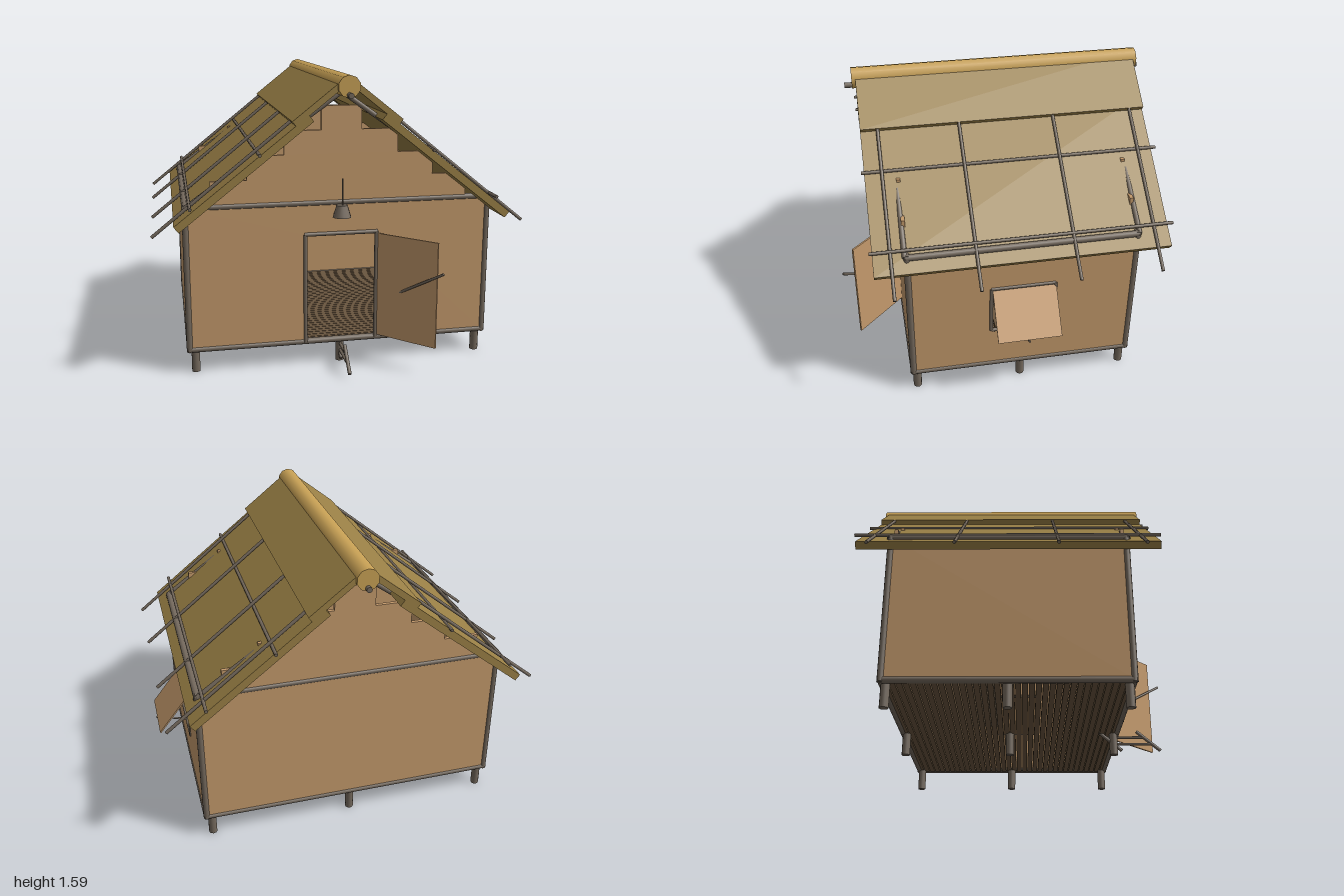
import * as THREE from 'three';

const mat = (color) => new THREE.MeshStandardMaterial({ color });
const wood = mat(0x73685c), wall = mat(0xc49a6c), thatch = mat(0x9a8046),
  straw = mat(0xc8a155), boards = mat(0x6a563f);

// The hut's own centre line is x = 0; front and back wall planes:
const HALF = 0.82, FRONT = 0.54, BACK = -0.66, MID = (FRONT + BACK) / 2;
const FLOOR = 0.13, EAVE = 0.905, T = 0.02;

export function createModel() {
  const hut = new THREE.Group();
  hut.name = 'hut';

  const add = (name, geometry, material) => {
    const mesh = new THREE.Mesh(geometry, material);
    mesh.name = name;
    hut.add(mesh);
    return mesh;
  };
  const box = (name, [w, h, d], [x, y, z], material) => {
    const mesh = add(name, new THREE.BoxGeometry(w, h, d), material);
    mesh.position.set(x, y, z);
    return mesh;
  };
  // Round pole between two points
  const pole = (name, a, b, r, material = wood, sides = 10) => {
    const from = new THREE.Vector3(...a), to = new THREE.Vector3(...b);
    const dir = to.clone().sub(from);
    const mesh = add(name, new THREE.CylinderGeometry(r, r, dir.length(), sides), material);
    mesh.position.copy(from).add(to).multiplyScalar(0.5);
    mesh.quaternion.setFromUnitVectors(new THREE.Vector3(0, 1, 0), dir.normalize());
    return mesh;
  };
  const rect = (x0, y0, x1, y1, Type = THREE.Shape) => new Type([
    [x0, y0], [x1, y0], [x1, y1], [x0, y1]].map((p) => new THREE.Vector2(...p)));
  // Flat wall, optionally with one rectangular opening
  const panel = (name, halfWidth, hole) => {
    const shape = rect(-halfWidth, FLOOR, halfWidth, EAVE);
    if (hole) shape.holes.push(rect(...hole, THREE.Path));
    const geo = new THREE.ExtrudeGeometry(shape, { depth: T, bevelEnabled: false });
    return add(name, geo.translate(0, 0, -T / 2), wall);
  };

  // Stilts
  for (const x of [-0.79, 0, 0.79])
    for (const z of [0.52, MID, -0.64]) pole('stilt', [x, 0, z], [x, FLOOR, z], 0.023);

  // Slatted floor
  const slats = 36, pitch = (FRONT - BACK) / slats;
  for (let i = 0; i < slats; i++)
    box('floorSlat', [HALF * 2, 0.02, pitch * 0.86],
      [0, 0.13, BACK + pitch * (i + 0.5)], boards);

  // Walls
  const depth = (FRONT - BACK) / 2;
  panel('frontWall', HALF, [-0.195, 0.14, 0.195, 0.735]).position.z = FRONT;
  panel('backWall', HALF).position.z = BACK;
  const windowZ = -0.06;
  const windowWall = panel('windowWall', depth,
    [MID - windowZ - 0.17, 0.37, MID - windowZ + 0.17, 0.65]);
  const blankWall = panel('blankWall', depth);
  windowWall.position.set(HALF, 0, MID);
  blankWall.position.set(-HALF, 0, MID);
  windowWall.rotation.y = blankWall.rotation.y = Math.PI / 2;

  // Frame: corner posts, sill beams and wall plates
  for (const x of [-HALF, HALF]) {
    for (const z of [FRONT, BACK]) pole('cornerPost', [x, 0.12, z], [x, EAVE, z], 0.018);
    for (const y of [0.13, EAVE]) pole('sideBeam', [x, y, BACK - 0.01], [x, y, FRONT + 0.01], 0.017);
  }
  for (const z of [FRONT, BACK])
    for (const y of [0.13, EAVE]) pole('crossBeam', [-HALF - 0.01, y, z], [HALF + 0.01, y, z], 0.017);

  // Stepped gables
  for (const z of [FRONT, BACK])
    [0.69, 0.5, 0.305, 0.108].forEach((half, i) => {
      const y0 = i ? 0.914 + i * 0.126 : EAVE, y1 = 0.914 + (i + 1) * 0.126;
      box('gableStep', [half * 2, y1 - y0, T], [0, (y0 + y1) / 2, z], wall);
    });

  // Roof: two layers of thatch per side, rafters and a lattice of poles on top
  const slab = (name, a, b, t, z0, z1) => {
    const n = new THREE.Vector2(a[1] - b[1], Math.abs(b[0] - a[0])).normalize().multiplyScalar(t);
    const nx = n.x * Math.sign(b[0]);
    const shape = new THREE.Shape([[a[0], a[1]], [b[0], b[1]], [b[0] - nx, b[1] - n.y],
      [a[0] - nx, a[1] - n.y]].map((p) => new THREE.Vector2(...p)));
    const geo = new THREE.ExtrudeGeometry(shape, { depth: z1 - z0, bevelEnabled: false });
    add(name, geo.translate(0, 0, z0), thatch);
  };
  for (const s of [-1, 1]) {
    slab('lowerThatch', [s * 0.2, 1.388], [s * 0.882, 0.85], 0.04, -0.83, 0.71);
    slab('upperThatch', [s * 0.01, 1.575], [s * 0.285, 1.358], 0.032, -0.83, 0.71);
    for (const z of [FRONT + 0.01, BACK - 0.01])
      pole('rafter', [s * HALF, EAVE, z], [0, 1.49, z], 0.014);
    for (const z of [0.62, 0.19, -0.32, -0.75])
      pole('slopePole', [s * 0.28, 1.35], [s * 0.992, 0.78], 0.009).position.z = z;
    for (const [x, y] of [[0.8, 0.937], [0.45, 1.195]])
      pole('lengthPole', [s * x, y, -0.855], [s * x, y, 0.725], 0.009);
  }
  const roll = pole('ridgeRoll', [0, 1.527, -0.85], [0, 1.527, 0.73], 0.058, straw, 10);
  roll.material = straw;
  pole('ridgePole', [0, 1.485, -0.872], [0, 1.485, 0.77], 0.015);

  // Door frame
  for (const x of [-0.195, 0.195]) pole('doorJamb', [x, 0.13, 0.55], [x, 0.735, 0.55], 0.011);
  pole('doorHead', [-0.2, 0.735, 0.55], [0.2, 0.735, 0.55], 0.011);

  // Door leaf, swung open by 45 degrees, with its slanting bar
  const leaf = box('doorLeaf', [0.365, 0.58, 0.01], [0.329, 0.435, 0.68], wall);
  leaf.rotation.y = -Math.PI / 4;
  pole('doorBar', [0.23, 0.345, 0.555], [0.468, 0.575, 0.872], 0.007);

  // Window frame, propped flap and prop stick
  const wx = HALF + 0.008, z0 = windowZ - 0.172, z1 = windowZ + 0.172;
  for (const y of [0.37, 0.65]) pole('windowRail', [wx, y, z0], [wx, y, z1], 0.01);
  for (const z of [z0, z1]) pole('windowStile', [wx, 0.37, z], [wx, 0.65, z], 0.01);
  const flap = box('windowFlap', [0.008, 0.275, 0.34], [0.912, 0.532, windowZ - 0.005], wall);
  flap.rotation.z = Math.atan2(0.17, 0.215);
  pole('flapProp', [HALF, 0.37, windowZ], [1.003, 0.417, windowZ], 0.006);

  // Hanging lamp over the door
  const shade = add('lampShade', new THREE.CylinderGeometry(0.03, 0.05, 0.065, 12), wood);
  shade.position.set(-0.003, 0.863, 0.58);
  pole('lampCord', [0, 0.89, 0.58], [0, 1.038, 0.58], 0.004);

  // Small ladder under the doorstep
  for (const z of [0.65, 0.435]) pole('ladderRail', [0, 0.135, z], [0, 0.025, z + 0.13], 0.01);
  for (const [y, z] of [[0.1, 0.475], [0.062, 0.515]])
    pole('ladderRung', [0, y, z], [0, y, z + 0.22], 0.008);

  // Low sleeping platform with a mat
  box('bedFrame', [0.72, 0.05, 0.52], [-0.43, 0.165, -0.37], wood);
  box('bedMat', [0.72, 0.012, 0.52], [-0.43, 0.196, -0.37], wall);

  hut.position.x = -0.01;
  const model = new THREE.Group();
  model.name = 'thatchedHut';
  model.add(hut);
  return model;
}
